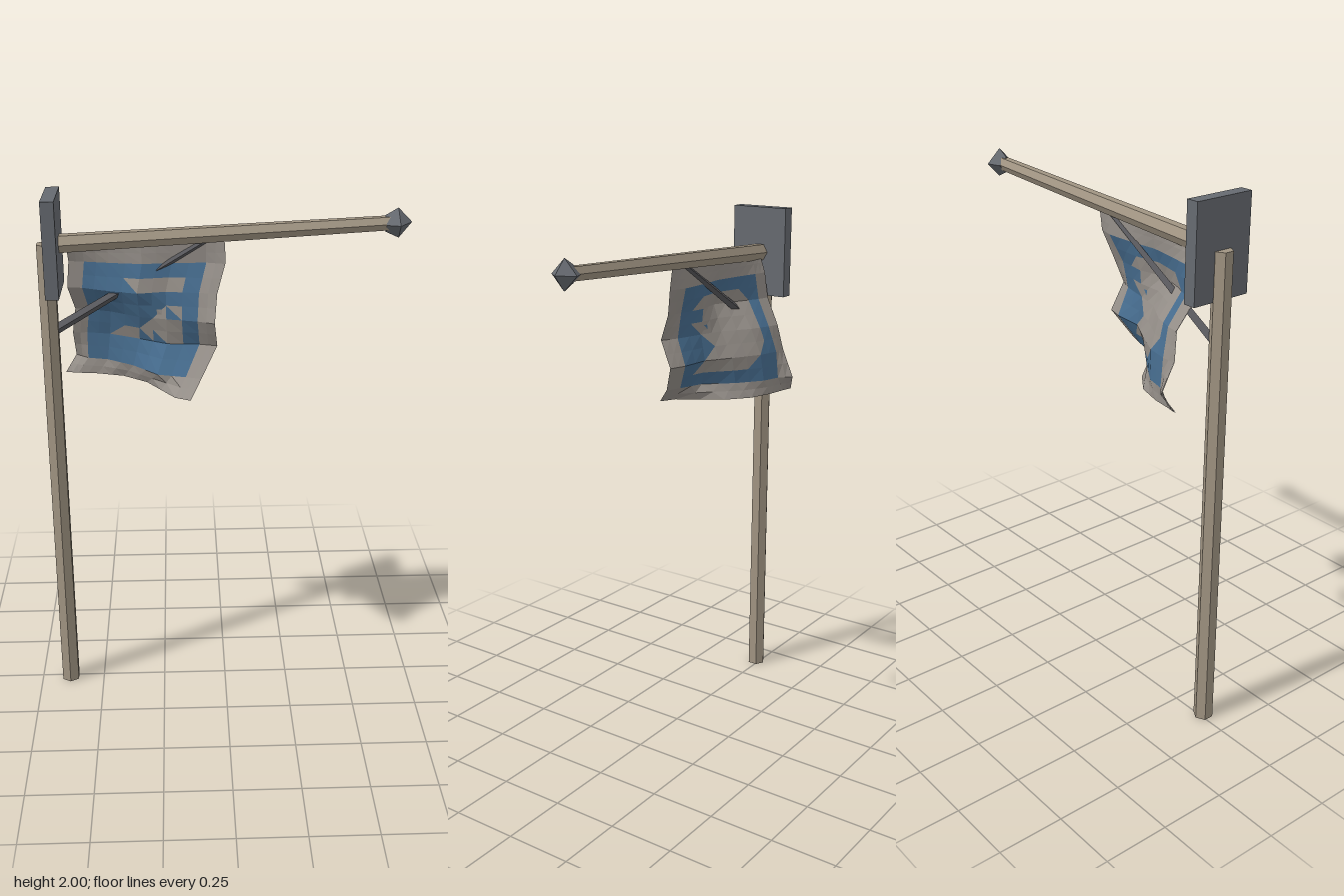
import * as THREE from 'three';

const mat = (color, side = THREE.FrontSide) =>
  new THREE.MeshStandardMaterial({ color, flatShading: true, side });
const wood = mat(0xa09482), iron = mat(0x666a70), darkIron = mat(0x58585c);
const plain = mat(0x958f89, THREE.DoubleSide), blue = mat(0x466c8e, THREE.DoubleSide);

function add(group, name, geometry, material) {
  const mesh = new THREE.Mesh(geometry, material);
  mesh.name = name;
  group.add(mesh);
  return mesh;
}

// Straight tapered bar between two points
function bar(group, name, from, to, r0, r1, sides, material) {
  const a = new THREE.Vector3(...from), b = new THREE.Vector3(...to);
  const dir = b.clone().sub(a);
  const mesh = add(group, name, new THREE.CylinderGeometry(r1, r0, dir.length(), sides), material);
  mesh.position.copy(a).add(b).multiplyScalar(0.5);
  mesh.quaternion.setFromUnitVectors(new THREE.Vector3(0, 1, 0), dir.normalize());
}

// Cloth: folds given as depth per row, with wavering left and right edges
const rowY = [1.825, 1.75, 1.65, 1.55, 1.45, 1.345, 1.285];
const leftX = [-0.565, -0.56, -0.57, -0.55, -0.565, -0.56, -0.6];
const rightX = [0, 0, -0.03, -0.04, -0.03, -0.09, -0.13];
const columnU = [0, 0.1, 0.26, 0.47, 0.66, 0.88, 1];
const depth = [
  [0, 0, 0, 0.01, 0.01, 0.01, 0.02],
  [-0.03, -0.02, 0, 0.02, 0.01, 0.01, 0.03],
  [-0.04, -0.03, 0.01, 0.05, 0.03, 0.05, 0.06],
  [-0.1, -0.09, -0.06, 0.01, 0.04, 0.07, 0.1],
  [-0.12, -0.12, -0.1, -0.04, 0.02, 0.03, 0.05],
  [-0.17, -0.13, -0.11, -0.04, 0.06, 0.09, 0.11],
  [-0.14, -0.13, -0.12, -0.09, -0.02, 0.14, 0.17],
];

// Dye on each face of the cloth, two cells per fold: B is a full cell,
// L, U, l and r are its lower-left, upper-right, upper-left and lower-right halves
const frontDye = [
  '', '', '..BBBBBBBB', '..BBBL...B', '..BBBBBBBB', '..BBBBBlLB',
  '..BBBBl..B', '..BBl.LL.B', '..BBBBBBBB', '..BBBBBBBB', '', ''];
const backDye = [
  '', '', '..BBBBBBBB', '..Bl....UB', '..B.....BB', '..B.....rB',
  '..B....rBB', '..BL...UBB', '..BBL...UB', '..BBBBBBBB', '', ''];
const dyedHalves = { B: [true, true], L: [true, false], U: [false, true], l: [true, false], r: [false, true] };

// Point on the cloth at half-step row i and column j
function clothPoint(i, j, offset) {
  const at = (list, k) => (list[Math.floor(k / 2)] + list[Math.ceil(k / 2)]) / 2;
  const x = THREE.MathUtils.lerp(at(leftX, i), at(rightX, i), at(columnU, j));
  const z = (at(depth[Math.floor(i / 2)], j) + at(depth[Math.ceil(i / 2)], j)) / 2;
  return [x, at(rowY, i), z + offset];
}

// The plain or the dyed part of one face of the cloth
function clothLayer(dye, dyed, back) {
  const positions = [];
  const offset = back ? -0.002 : 0.002;
  for (let i = 0; i < 12; i++) {
    for (let j = 0; j < 12; j++) {
      const a = clothPoint(i, j, offset), b = clothPoint(i + 1, j, offset);
      const c = clothPoint(i + 1, j + 1, offset), d = clothPoint(i, j + 1, offset);
      const code = dye[i][j];
      const triangles = code === 'l' || code === 'r'
        ? [[a, b, d], [b, c, d]] : [[a, b, c], [a, c, d]];
      const halves = dyedHalves[code] ?? [false, false];
      triangles.forEach((triangle, k) => {
        if (halves[k] !== dyed) return;
        if (back) triangle.reverse();
        positions.push(...triangle.flat());
      });
    }
  }
  const geometry = new THREE.BufferGeometry();
  geometry.setAttribute('position', new THREE.Float32BufferAttribute(positions, 3));
  geometry.computeVertexNormals();
  return geometry;
}

export function createModel() {
  const model = new THREE.Group();
  model.name = 'bannerPost';

  // Post, beam and brace
  bar(model, 'post', [-0.635, 0, 0.014], [-0.635, 1.825, 0.014], 0.037, 0.035, 6, wood);
  bar(model, 'beam', [-0.62, 1.823, 0.01], [0.6, 1.888, 0.01], 0.035, 0.027, 6, wood);
  bar(model, 'brace', [-0.625, 1.5, 0.01], [-0.07, 1.83, 0.01], 0.019, 0.011, 4, darkIron);

  // Wall plate at the head of the post
  add(model, 'plate', new THREE.BoxGeometry(0.048, 0.346, 0.236), iron)
    .position.set(-0.61, 1.827, 0.014);

  // Four-sided pointed finial on the beam end
  const profile = [[0, 0], [0.03, 0], [0.054, 0.046], [0, 0.094]]
    .map(([r, h]) => new THREE.Vector2(r, h));
  const finial = add(model, 'finial', new THREE.LatheGeometry(profile, 4), iron);
  finial.rotation.z = -Math.PI / 2 + 0.055;
  finial.position.set(0.569, 1.885, 0.01);

  // Hanging cloth, dyed differently on its two faces
  const banner = new THREE.Group();
  banner.name = 'banner';
  for (const [face, dye, back] of [['front', frontDye, false], ['back', backDye, true]]) {
    add(banner, face + 'Cloth', clothLayer(dye, false, back), plain);
    add(banner, face + 'Dye', clothLayer(dye, true, back), blue);
  }
  model.add(banner);
  return model;
}
